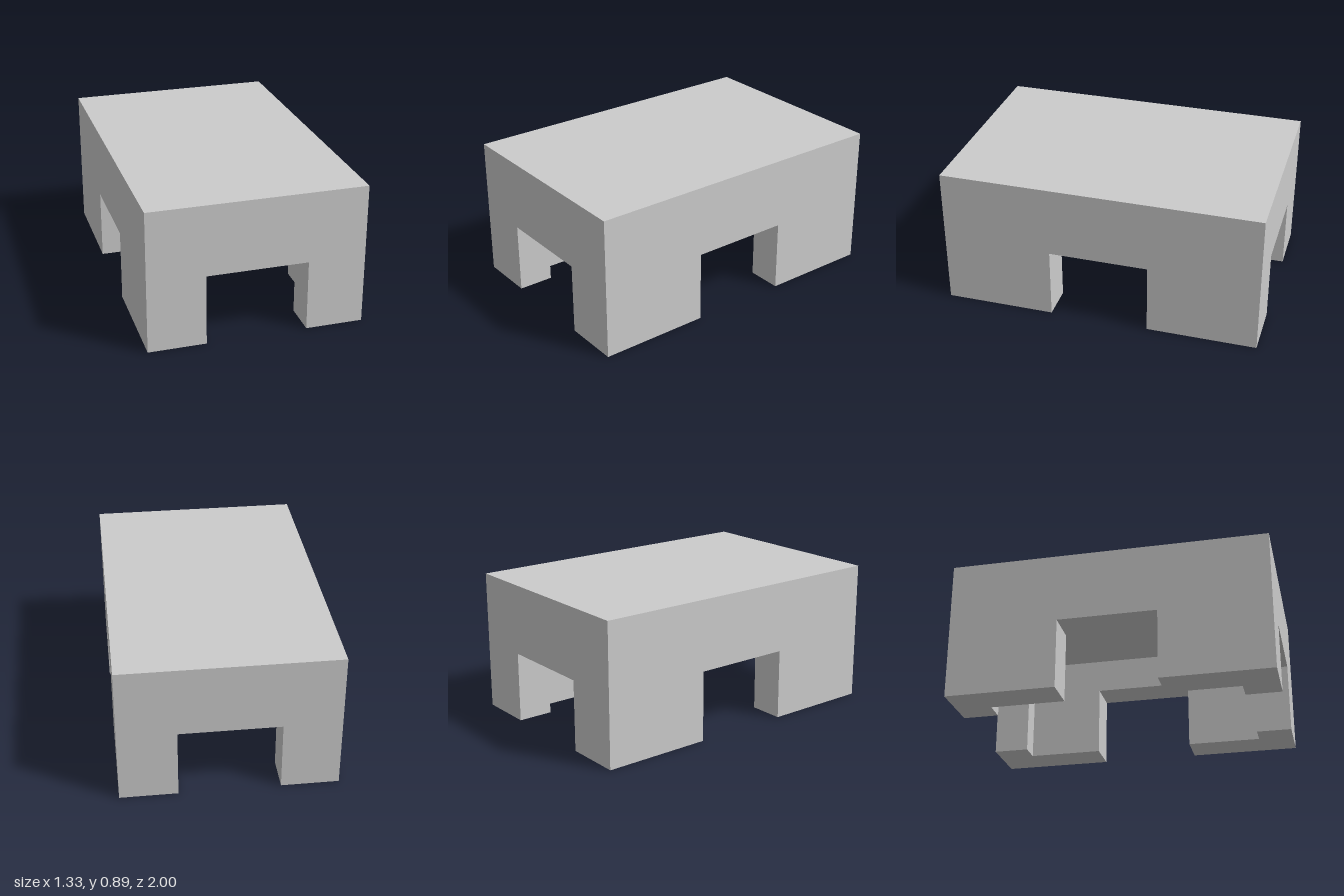
import * as THREE from 'three';

const T = 2 / 9;                // wall and top thickness
const HX = 3 * T, HZ = 4.5 * T; // outer half width and half length
const GAP = 0.311;              // half width of each opening
const material = new THREE.MeshStandardMaterial({ color: 0xcccccc, flatShading: true });

const plan = (points) => new THREE.Shape(points.map(([x, z]) => new THREE.Vector2(x, z)));
const rect = (hx, hz) => [[-hx, -hz], [hx, -hz], [hx, hz], [-hx, hz]];

// Raises a floor-plan shape from height y0 to y1
function raise(name, shape, y0, y1) {
  const geometry = new THREE.ExtrudeGeometry(shape, { depth: y1 - y0, bevelEnabled: false });
  geometry.rotateX(-Math.PI / 2).translate(0, y0, 0);
  const mesh = new THREE.Mesh(geometry, material);
  mesh.name = name;
  return mesh;
}

export function createModel() {
  const group = new THREE.Group();
  group.name = 'table';

  // Thick flat top
  group.add(raise('tableTop', plan(rect(HX, HZ)), 3 * T, 4 * T));

  // Apron running round the hollow underside
  const apron = plan(rect(HX, HZ));
  apron.holes.push(plan(rect(HX - T, HZ - T)));
  group.add(raise('apron', apron, 2 * T, 3 * T));

  // L-shaped corner legs
  const corner = [[GAP, HZ], [HX, HZ], [HX, GAP], [HX - T, GAP], [HX - T, HZ - T], [GAP, HZ - T]];
  for (const [sx, sz, name] of [
    [1, -1, 'frontLeftLeg'], [-1, -1, 'frontRightLeg'],
    [1, 1, 'backLeftLeg'], [-1, 1, 'backRightLeg'],
  ]) {
    group.add(raise(name, plan(corner.map(([x, z]) => [sx * x, sz * z])), 0, 2 * T));
  }
  return group;
}
